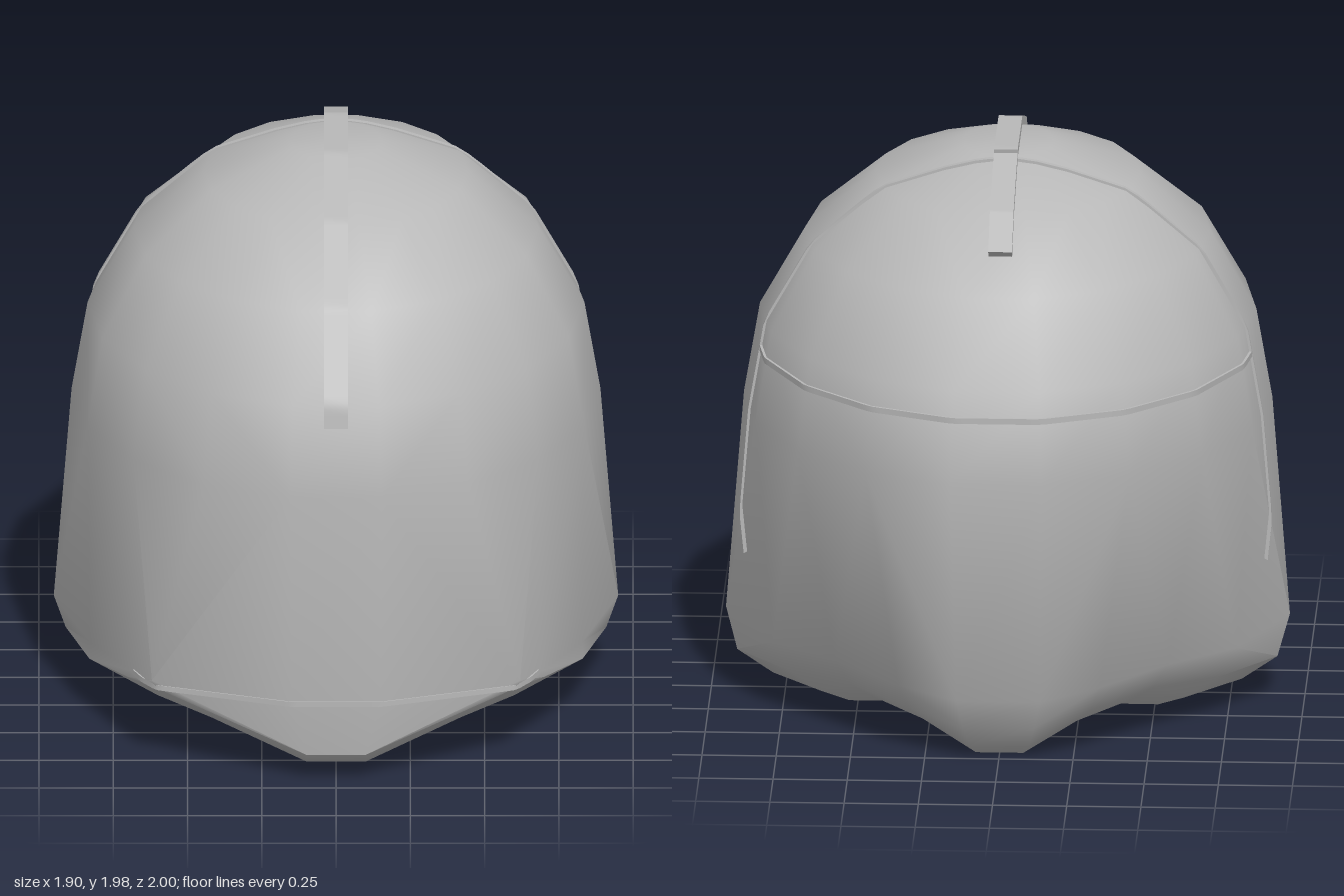
import * as THREE from 'three';
import { toCreasedNormals } from 'three/addons/utils/BufferGeometryUtils.js';

const V = (x, y, z) => new THREE.Vector3(x, y, z);
const MIDDLE = V(0, 1, 0);

// Skins closed cross-sections, optionally closing either end with a fan
function loft(rings, capStart, capEnd, crease) {
  const n = rings[0].length, pos = [], index = [];
  const reach = (p, q) => p.clone().add(q).multiplyScalar(.5).distanceTo(MIDDLE);
  rings.forEach(r => r.forEach(p => pos.push(p.x, p.y, p.z)));
  for (let i = 0; i < rings.length - 1; i++) {
    for (let j = 0; j < n; j++) {
      const k = (j + 1) % n, a = i * n + j, b = i * n + k, c = b + n, d = a + n;
      // Split each quad along the diagonal that bulges outward
      if (reach(rings[i][j], rings[i + 1][k]) >= reach(rings[i][k], rings[i + 1][j])) {
        index.push(a, b, c, a, c, d);
      } else {
        index.push(a, b, d, b, c, d);
      }
    }
  }
  const cap = (i, flip) => {
    const c = rings[i].reduce((s, p) => s.add(p), V(0, 0, 0)).divideScalar(n);
    const k = pos.length / 3;
    pos.push(c.x, c.y, c.z);
    for (let j = 0; j < n; j++) {
      const a = i * n + j, b = i * n + (j + 1) % n;
      if (flip) index.push(b, a, k); else index.push(a, b, k);
    }
  };
  if (capStart) cap(0, true);
  if (capEnd) cap(rings.length - 1, false);
  const g = new THREE.BufferGeometry();
  g.setAttribute('position', new THREE.Float32BufferAttribute(pos, 3));
  g.setIndex(index);
  return toCreasedNormals(g, crease);
}

// Mirrors a half section running from front to back along the left side
const mirror = half => [...half, ...half.slice().reverse().map(p => V(-p.x, p.y, p.z))];

export function createModel() {
  const group = new THREE.Group();
  const grey = new THREE.MeshStandardMaterial({ color: 0xb8b8b8, side: THREE.DoubleSide });
  const add = (name, geometry) => {
    const mesh = new THREE.Mesh(geometry, grey);
    mesh.name = name;
    group.add(mesh);
    return mesh;
  };

  // Half sections of the lower shell: neck rim, underside, jaw edge, cheeks
  const rim = [[.1, 0, .53], [.3, .025, .46], [.46, .045, .3], [.55, .05, .1], [.6, .03, -.15],
    [.52, .07, -.35], [.38, .12, -.5], [.22, .08, -.61], [.08, 0, -.68]];
  const underside = [[.1, .04, .86], [.42, .12, .66], [.6, .12, .46], [.72, .09, .2], [.79, .07, -.06],
    [.62, .09, -.31], [.44, .14, -.51], [.26, .11, -.66], [.1, .04, -.735]];
  const jaw = [[.1, .1, .95], [.6, .28, .8], [.7, .25, .62], [.83, .2, .33], [.91, .155, -.07],
    [.72, .15, -.29], [.51, .18, -.505], [.31, .16, -.69], [.12, .12, -.785]];
  const cheeks = [[.15, .3, .955], [.62, .31, .8], [.69, .28, .64], [.83, .27, .35], [.95, .29, -.02],
    [.78, .26, -.31], [.56, .27, -.53], [.34, .25, -.73], [.14, .23, -.835]];
  const lip = rim.map(([x, y, z]) => [x * .94, y + .07, z * .94]);
  const rings = [lip, rim, underside, jaw, cheeks].map(s => mirror(s.map(p => V(...p))));

  // Dome: rings every 20 degrees above the widest level
  const rad = Math.PI / 180;
  for (let tilt = 0; tilt <= 80; tilt += 20) {
    const r = Math.cos(tilt * rad), y = 1.05 + .91 * Math.sin(tilt * rad), half = [];
    for (let turn = 80; turn >= -80; turn -= 20) {
      half.push(V(.89 * r * Math.cos(turn * rad), y, 1.015 * r * Math.sin(turn * rad)));
    }
    rings.push(mirror(half));
  }
  const shell = add('helmetShell', loft(rings, false, true, 0.8));
  shell.updateMatrixWorld();

  // Strip that follows the shell where rays from a centre meet it
  const caster = new THREE.Raycaster();
  function strip(name, centre, direction, from, to, axis, width, height) {
    const sections = [], steps = 72;
    for (let i = 0; i <= steps; i++) {
      const d = direction(from + (to - from) * i / steps).normalize();
      caster.set(centre, d);
      const hits = caster.intersectObject(shell);
      if (!hits.length) continue;
      const p = hits[hits.length - 1].point;
      const corner = (side, h) => p.clone().addScaledVector(axis, side * width / 2).addScaledVector(d, h);
      sections.push([corner(-1, -.02), corner(1, -.02), corner(1, height), corner(-1, height)]);
    }
    add(name, loft(sections, true, true, 0.5));
  }

  const X = V(1, 0, 0), Y = V(0, 1, 0), Z = V(0, 0, 1);
  const lengthwise = a => V(0, Math.sin(a), Math.cos(a));
  const crosswise = a => V(Math.cos(a), Math.sin(a), 0);
  const around = a => V(Math.cos(a), 0, Math.sin(a));

  // Crown ridge in two pieces
  strip('frontCrownRidge', V(0, 1.05, 0), lengthwise, .245, 1.768, X, .08, .03);
  strip('backCrownRidge', V(0, 1.05, 0), lengthwise, 1.79, 2.31, X, .08, .03);

  // Panel seams
  strip('crossSeam', V(0, 1.05, -.19), crosswise, -.527, Math.PI + .527, Z, .02, .007);
  strip('backSeam', V(0, 1.265, -.19), around, -.01, -Math.PI + .01, Y, .02, .007);
  strip('chinSeam', V(0, .286, .3), around, .49, Math.PI - .49, Y, .018, .005);

  return group;
}
